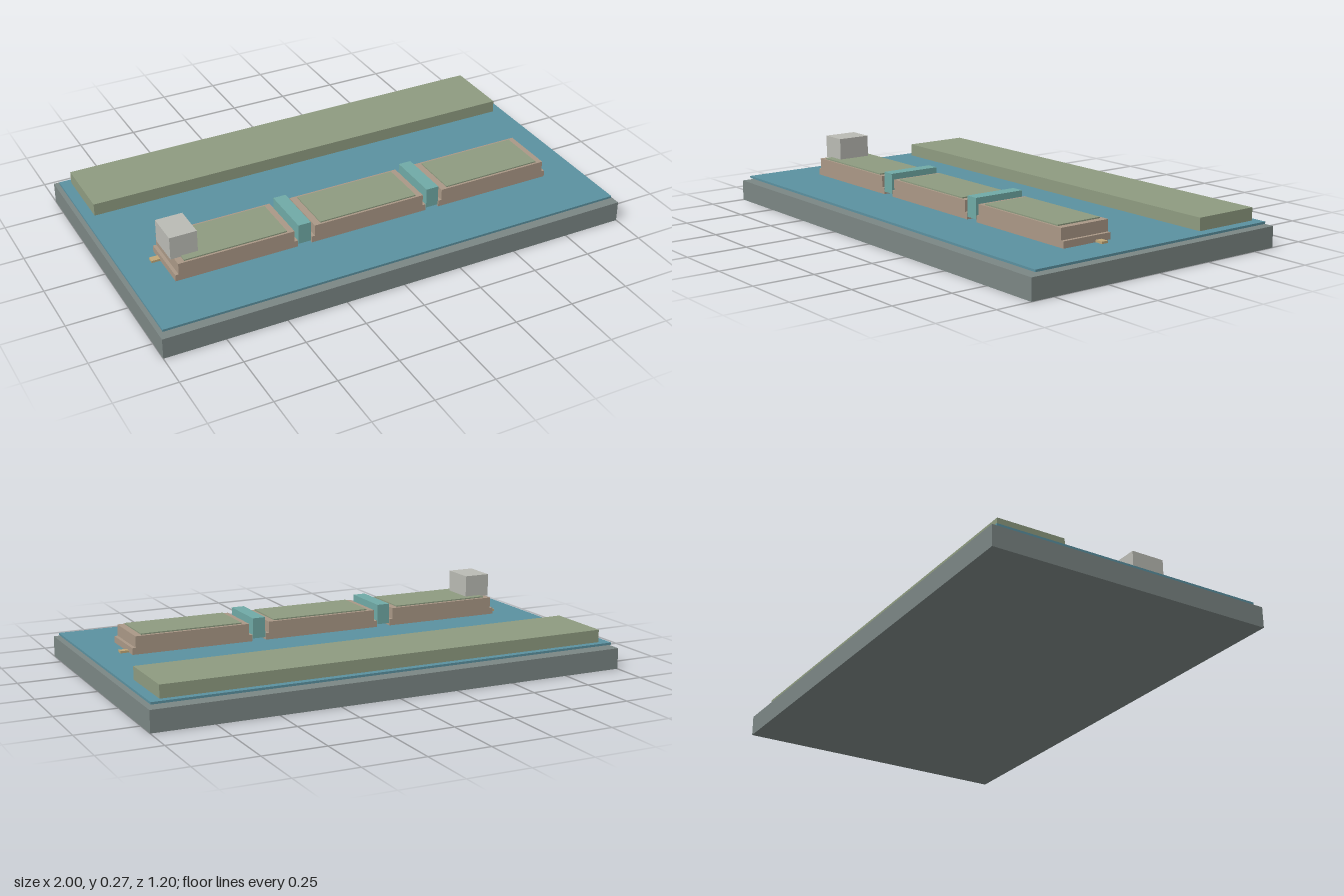
import * as THREE from 'three';

const material = (color) => new THREE.MeshStandardMaterial({ color, flatShading: true });
const MATERIALS = {
  base: material(0x7b8684),
  sheet: material(0x5b91a0),
  green: material(0x8e9b80),
  body: material(0xaa9886),
  teal: material(0x70aaa6),
  hitch: material(0xc0a777),
  grey: material(0xbabbb4),
};

// Box given by its lowest and highest corner values on each axis
function block(name, mat, [x0, x1], [y0, y1], [z0, z1]) {
  const mesh = new THREE.Mesh(new THREE.BoxGeometry(x1 - x0, y1 - y0, z1 - z0), MATERIALS[mat]);
  mesh.position.set((x0 + x1) / 2, (y0 + y1) / 2, (z0 + z1) / 2);
  mesh.name = name;
  return mesh;
}

// One segment: wide sill, narrower body, thin roof panel and a hitch at each end
function createSegment(name, x, halfLength) {
  const segment = new THREE.Group();
  segment.name = name;
  segment.position.x = x;
  const width = [0.087, 0.313];
  const span = (inset) => [-halfLength + inset, halfLength - inset];
  segment.add(
    block('sill', 'body', span(0), [0.105, 0.132], width),
    block('body', 'body', span(0.014), [0.132, 0.179], width),
    block('roofPanel', 'green', span(0.042), [0.179, 0.184], [0.101, 0.304]),
  );
  for (const side of [-1, 1]) {
    const hitch = block('hitch', 'hitch', [-0.018, 0.018], [0.105, 0.114], [0.131, 0.159]);
    hitch.position.x = side * (halfLength + 0.017);
    segment.add(hitch);
  }
  return segment;
}

export function createModel() {
  const model = new THREE.Group();
  model.name = 'platformModel';

  // Ground slab, floating sheet and long rear platform
  model.add(
    block('baseSlab', 'base', [-1, 1], [0, 0.086], [-0.6, 0.6]),
    block('surfaceSheet', 'sheet', [-0.985, 0.985], [0.096, 0.105], [-0.571, 0.571]),
    block('rearPlatform', 'green', [-0.942, 0.942], [0.105, 0.157], [-0.543, -0.26]),
  );

  // Row of three segments
  ['rightSegment', 'middleSegment', 'leftSegment'].forEach((name, i) => {
    model.add(createSegment(name, (i - 1) * 0.572, 0.256));
  });

  // Connectors between the segments
  for (const side of [-1, 1]) {
    const connector = block('connector', 'teal', [-0.027, 0.027], [0.116, 0.2], [0.087, 0.313]);
    connector.position.x = side * 0.286;
    model.add(connector);
  }

  // Box on top of the end segment
  model.add(block('topBox', 'grey', [-0.828, -0.716], [0.179, 0.274], [0.13, 0.272]));

  return model;
}
